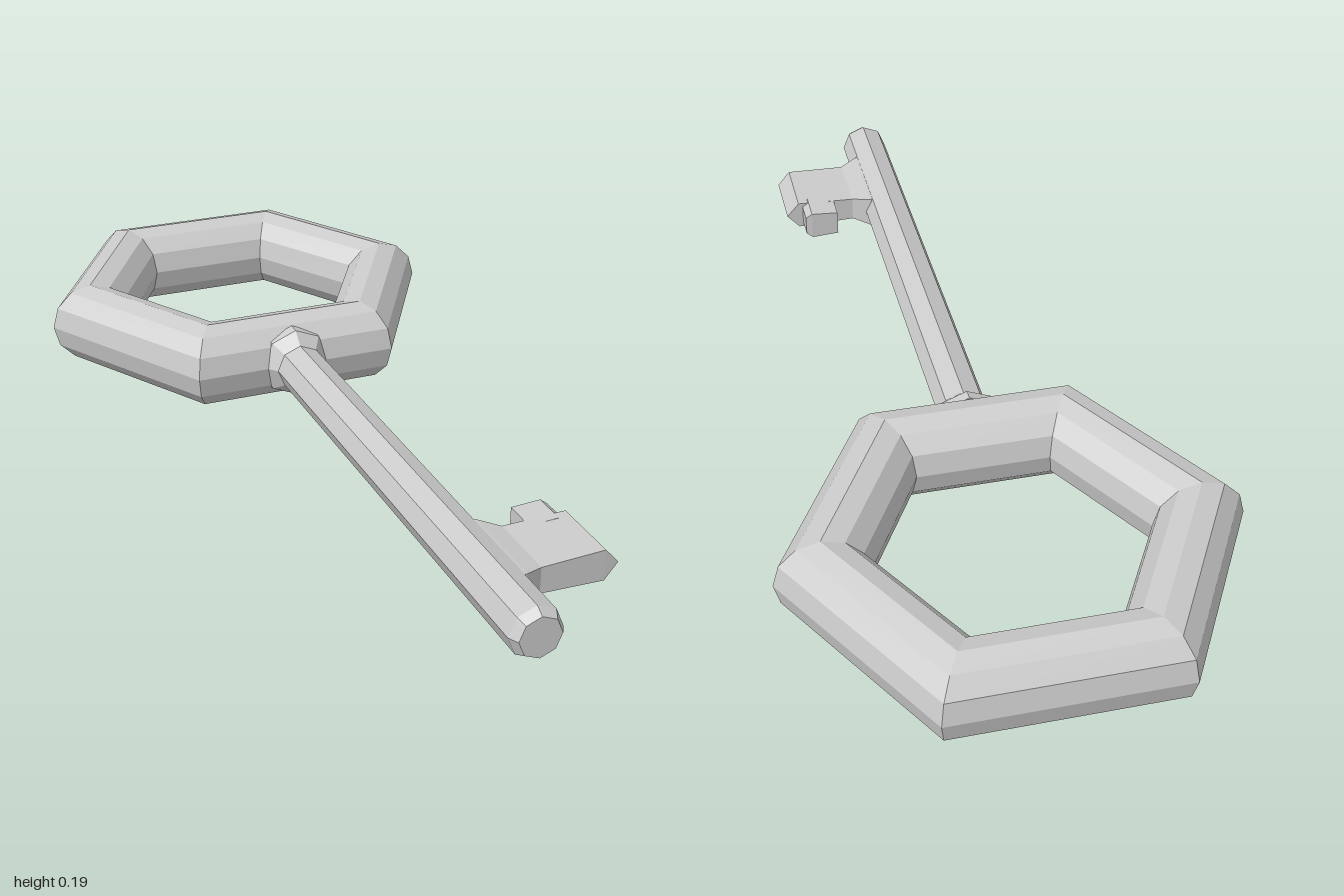
import * as THREE from 'three';

const grey = new THREE.MeshStandardMaterial({ color: 0xcccccc, flatShading: true });
const MID = 0.095; // height of the key's middle plane

function part(name, geometry) {
  const flat = geometry.index ? geometry.toNonIndexed() : geometry;
  flat.computeVertexNormals();
  const mesh = new THREE.Mesh(flat, grey);
  mesh.name = name;
  mesh.position.y = MID;
  return mesh;
}

// Bar along x through rectangular sections [x, zMin, zMax, halfThickness]
function sectionBar(rows) {
  const n = rows.length - 1;
  const geometry = new THREE.BoxGeometry(1, 1, 1, n, 1, 1);
  const p = geometry.attributes.position;
  for (let i = 0; i < p.count; i++) {
    const [x, z0, z1, h] = rows[Math.round((p.getX(i) + 0.5) * n)];
    p.setXYZ(i, x, Math.sign(p.getY(i)) * h, p.getZ(i) > 0 ? z1 : z0);
  }
  return geometry;
}

export function createModel() {
  const key = new THREE.Group();
  key.name = 'key';

  // Six-sided ring handle with a round twelve-sided section
  const ring = new THREE.TorusGeometry(0.376, 0.095, 12, 6);
  ring.rotateX(Math.PI / 2);
  ring.translate(0, 0, -0.592);
  key.add(part('handleRing', ring));

  // Eight-sided shaft: flared collar at the ring, chamfered free end
  const profile = [
    [0, -0.24], [0.082, -0.22], [0.08, -0.195], [0.054, -0.165],
    [0.054, 0.98], [0.043, 1], [0, 1],
  ].map(([r, y]) => new THREE.Vector2(r, y));
  const shaft = new THREE.LatheGeometry(profile, 8);
  shaft.rotateX(Math.PI / 2);
  key.add(part('shaft', shaft));

  // Bit: flares out of the shaft and ends in a wedge edge
  key.add(part('bit', sectionBar([
    [0.02, 0.65, 0.865, 0.04],
    [0.045, 0.655, 0.86, 0.037],
    [0.085, 0.68, 0.838, 0.028],
    [0.22, 0.68, 0.835, 0.033],
    [0.249, 0.68, 0.833, 0],
  ])));

  // Small tooth on the handle side of the bit
  key.add(part('tooth', sectionBar([
    [0.132, 0.625, 0.7, 0.029],
    [0.195, 0.625, 0.7, 0.033],
    [0.21, 0.628, 0.7, 0.022],
  ])));

  return key;
}
